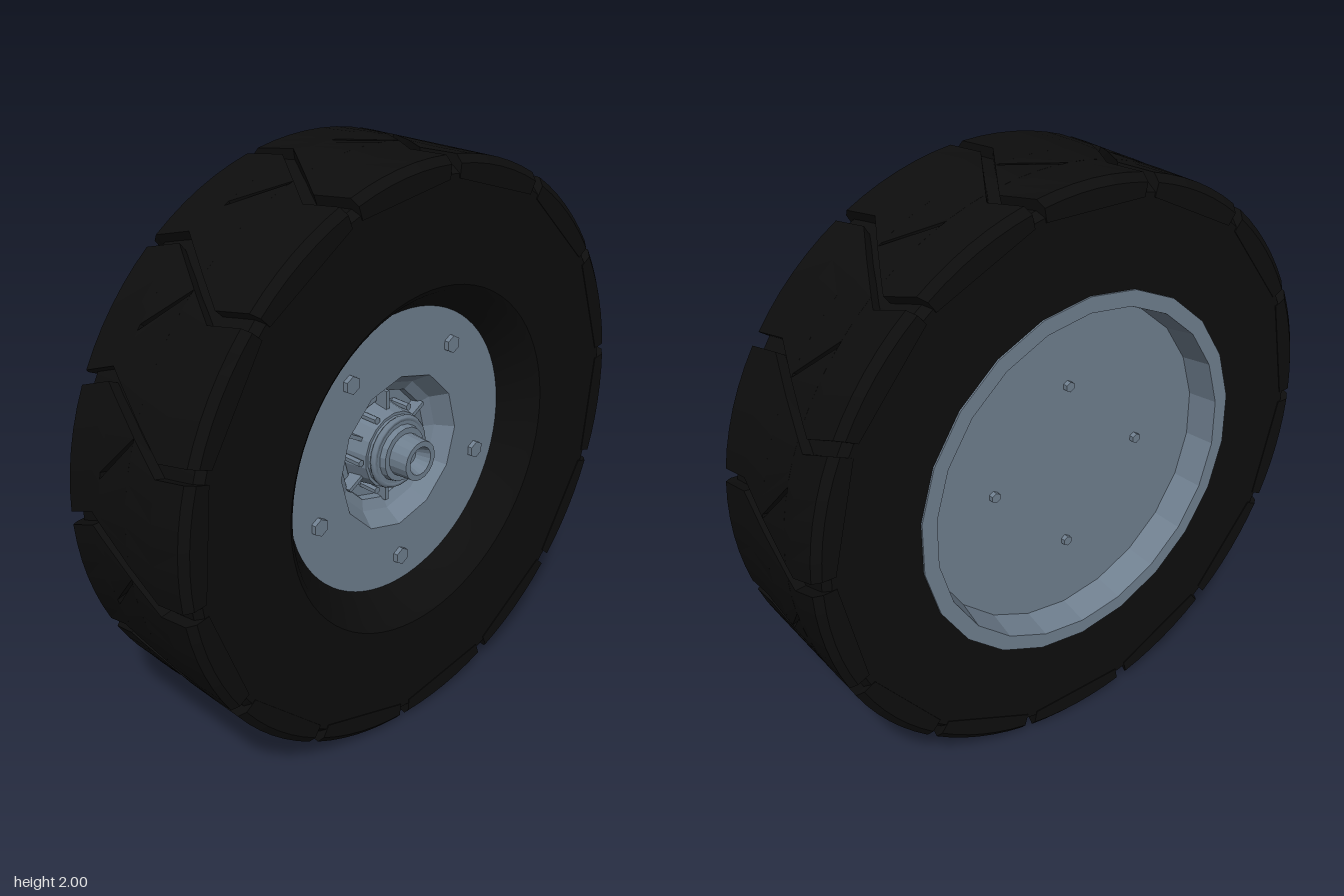
import * as THREE from 'three';
import { toCreasedNormals, mergeGeometries } from 'three/addons/utils/BufferGeometryUtils.js';

const DEG = Math.PI / 180;

// Revolve an [radius, z] profile around the z axis
function lathe(profile, sides) {
  const g = new THREE.LatheGeometry(profile.map(([r, z]) => new THREE.Vector2(r, z)), sides);
  return g.rotateX(Math.PI / 2);
}

// Tread lug: closed loft through stations [z, startDeg, endDeg, radius], front to back
function lug(stations, steps = 6, base = 0.93) {
  const loops = stations.map(([z, a0, a1, r]) => {
    const at = (deg, rad) => [Math.cos(deg * DEG) * rad, Math.sin(deg * DEG) * rad, z];
    const loop = [at(a0, base)];
    for (let i = 0; i <= steps; i++) loop.push(at(a0 + (a1 - a0) * i / steps, r));
    loop.push(at(a1, base));
    return loop;
  });
  const pos = [];
  const tri = (a, b, c) => pos.push(...a, ...b, ...c);
  const n = loops[0].length;
  for (let s = 0; s < loops.length - 1; s++) {
    const f = loops[s], b = loops[s + 1];
    for (let j = 0; j < n; j++) {
      const k = (j + 1) % n;
      tri(b[j], b[k], f[j]);
      tri(b[k], f[k], f[j]);
    }
  }
  const first = loops[0], last = loops[loops.length - 1];
  for (let j = 1; j < n - 1; j++) {
    tri(first[0], first[j], first[j + 1]);
    tri(last[0], last[j + 1], last[j]);
  }
  const g = new THREE.BufferGeometry();
  g.setAttribute('position', new THREE.Float32BufferAttribute(pos, 3));
  g.computeVertexNormals();
  return g;
}

export function createModel() {
  const rubber = new THREE.MeshStandardMaterial({ color: 0x0d0d0d });
  rubber.name = 'blackRubber';
  const steel = new THREE.MeshStandardMaterial({ color: 0x708090 });
  steel.name = 'greySteel';

  const wheel = new THREE.Group();
  wheel.name = 'wheel';
  const add = (name, geometry, material, parent = wheel) => {
    const m = new THREE.Mesh(geometry, material);
    m.name = name;
    parent.add(m);
    return m;
  };
  const flat = (g) => toCreasedNormals(g, 0.05);

  // Tyre body with a sunken well on the front
  add('tyre', toCreasedNormals(lathe([
    [0.62, -0.28], [0.945, -0.28], [0.965, -0.255], [0.965, 0.255], [0.945, 0.28],
    [0.6, 0.28], [0.58, 0.265], [0.5, 0.158], [0.48, 0.1],
  ], 72), 0.5), rubber);

  // Chevron tread: the main groove bends across the width, a short one branches off it
  const lugs = 14, pitch = 360 / lugs, gap = 1.3;
  const bend = [[0.283, 33], [0.14, 34.8], [-0.15, 23.6], [-0.283, 26.7]];
  const groove = (z) => {
    let i = 0;
    while (i < 2 && z < bend[i + 1][0]) i++;
    const [z0, a0] = bend[i], [z1, a1] = bend[i + 1];
    return a0 + (a1 - a0) * (z - z0) / (z1 - z0);
  };
  const full = (z, r = 1) => [z, groove(z) + gap, groove(z) + pitch - gap, r];
  const lugGeo = mergeGeometries([
    lug([full(0.283, 0.975), full(0.262), full(0.14), full(0.02)]),
    lug([[0.02, 32.4, groove(0.02) + pitch - gap, 1], [-0.11, 41.2, groove(-0.11) + pitch - gap, 1]]),
    lug([[0.02, groove(0.02) + gap, 31.6, 1], [-0.11, groove(-0.11) + gap, 40, 1]]),
    lug([full(-0.11), full(-0.15), full(-0.262), full(-0.283, 0.975)]),
  ]);
  const tread = new THREE.Group();
  tread.name = 'tread';
  wheel.add(tread);
  for (let i = 0; i < lugs; i++) add('treadLug', lugGeo, rubber, tread).rotation.z = i * pitch * DEG;

  // Shallow pan and rim lip on the back
  add('backRim', flat(lathe([
    [0, -0.18], [0.57, -0.18], [0.59, -0.286], [0.644, -0.286], [0.644, -0.26],
  ], 22)), steel);

  // Front disc with a twelve-sided opening for the hub
  const ngon = (r, n) => Array.from({ length: n }, (_, i) => {
    const a = i / n * Math.PI * 2;
    return new THREE.Vector2(Math.cos(a) * r, Math.sin(a) * r);
  });
  const face = new THREE.Shape(ngon(0.506, 24));
  face.holes.push(new THREE.Path(ngon(0.275, 12)));
  add('frontDisc', new THREE.ShapeGeometry(face).translate(0, 0, 0.16), steel);

  // Stepped hub recess and the central boss
  add('hubRecess', flat(lathe([
    [0.12, 0.04], [0.16, 0.04], [0.16, 0.055], [0.195, 0.055], [0.2, 0.08], [0.235, 0.1], [0.275, 0.16],
  ].reverse(), 12)), steel);
  add('hubBoss', flat(lathe([
    [0.15, 0.04], [0.135, 0.13], [0.125, 0.13], [0.12, 0.16], [0.1, 0.16], [0.095, 0.18],
    [0.075, 0.18], [0.07, 0.25], [0.05, 0.25],
  ], 18)), steel);
  add('hubSocket', flat(lathe([[0.05, 0.25], [0.032, 0.2], [0, 0.2]], 18)), steel);
  add('hubCollar', new THREE.TorusGeometry(0.118, 0.012, 6, 24).translate(0, 0, 0.15), steel);

  // Radial ribs and small studs around the boss
  for (let i = 0; i < 6; i++) {
    const spin = new THREE.Group();
    spin.name = 'hubRib';
    spin.rotation.z = (i * 60 + 30) * DEG;
    wheel.add(spin);
    add('rib', new THREE.BoxGeometry(0.08, 0.014, 0.05).translate(0.165, 0, 0.075), steel, spin);
    const stud = new THREE.CylinderGeometry(0.013, 0.013, 0.07, 6).rotateX(Math.PI / 2);
    stud.translate(0.15, 0, 0.09).rotateZ(30 * DEG);
    add('stud', flat(stud), steel, spin);
  }

  // Hexagonal bolts: five on the front disc, four in the back pan
  const bolts = (name, count, ring, r, z, start) => {
    const g = flat(new THREE.CylinderGeometry(r, r, 0.024, 6).rotateX(Math.PI / 2));
    for (let i = 0; i < count; i++) {
      const a = (start + i * 360 / count) * DEG;
      add(name, g, steel).position.set(Math.cos(a) * ring, Math.sin(a) * ring, z);
    }
  };
  bolts('frontBolt', 5, 0.4, 0.031, 0.165, -90);
  bolts('backBolt', 4, 0.3, 0.018, -0.185, 0);

  wheel.position.y = 1;
  const model = new THREE.Group();
  model.name = 'wheelModel';
  model.add(wheel);
  return model;
}
